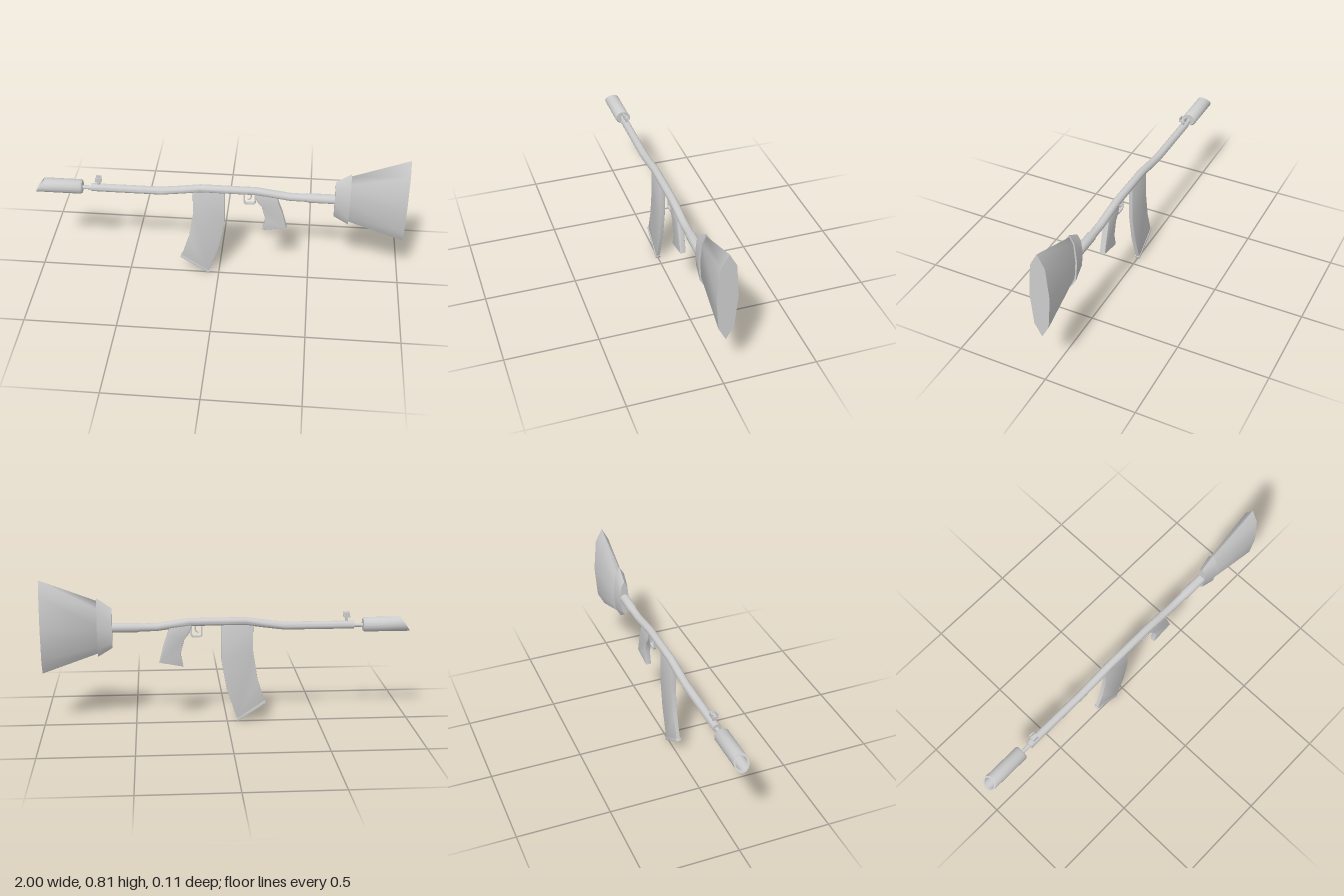
import * as THREE from 'three';
import { toCreasedNormals } from 'three/addons/utils/BufferGeometryUtils.js';

const material = new THREE.MeshStandardMaterial({ color: 0xcccccc });

function add(parent, name, geometry, x = 0, y = 0, z = 0) {
  const mesh = new THREE.Mesh(geometry, material);
  mesh.name = name;
  mesh.position.set(x, y, z);
  parent.add(mesh);
  return mesh;
}

// Skin cross-sections along x; each section is { x, ring: [[y, z], ...] } with y turning towards z.
function loft(sections, crease) {
  const n = sections[0].ring.length;
  const pos = [], idx = [];
  for (const { x, ring } of sections) for (const [y, z] of ring) pos.push(x, y, z);
  for (let j = 0; j < sections.length - 1; j++) {
    for (let i = 0; i < n; i++) {
      const a = j * n + i, d = j * n + (i + 1) % n;
      idx.push(a, d, d + n, a, d + n, a + n);
    }
  }
  const last = (sections.length - 1) * n;
  for (let i = 1; i < n - 1; i++) {
    idx.push(0, i + 1, i);
    idx.push(last, last + i, last + i + 1);
  }
  const g = new THREE.BufferGeometry();
  g.setAttribute('position', new THREE.Float32BufferAttribute(pos, 3));
  g.setIndex(idx);
  return toCreasedNormals(g, crease);
}

function roundSection(x, y, r, n = 16) {
  const ring = [];
  for (let i = 0; i < n; i++) {
    const a = (i / n) * Math.PI * 2;
    ring.push([y + r * Math.cos(a), r * Math.sin(a)]);
  }
  return { x, ring };
}

// Tall lens-like section, pointed at the top and bottom.
function lensSection(x, bottom, top, halfWidth) {
  const c = (bottom + top) / 2, h = (top - bottom) / 2;
  const ring = [[1, 0], [0.71, 0.72], [0, 1], [-0.71, 0.72], [-1, 0], [-0.71, -0.72], [0, -1], [0.71, -0.72]]
    .map(([y, z]) => [c + y * h, z * halfWidth]);
  return { x, ring };
}

// Flat plate cut from an outline in the xy plane, with bevelled edges.
function plate(points, halfDepth, bevel) {
  const shape = new THREE.Shape(points.map(([x, y]) => new THREE.Vector2(x, y)));
  const g = new THREE.ExtrudeGeometry(shape, {
    depth: 2 * (halfDepth - bevel), bevelEnabled: true, bevelSegments: 2,
    bevelSize: bevel, bevelThickness: bevel, bevelOffset: -bevel,
  });
  g.translate(0, 0, -(halfDepth - bevel));
  return toCreasedNormals(g, 0.6);
}

// Hollow muzzle tube with a slanted mouth.
function muzzleGeometry() {
  const r = 0.04, profile = [[0, 0.74], [0.034, 0.74], [r, 0.748], [r, 1], [0.031, 1], [0.031, 0.82], [0, 0.82]];
  const g = new THREE.LatheGeometry(profile.map(([x, y]) => new THREE.Vector2(x, y)), 16);
  g.rotateZ(Math.PI / 2);
  const p = g.attributes.position;
  for (let i = 0; i < p.count; i++) {
    if (p.getX(i) < -0.95) p.setX(i, -1 + ((p.getY(i) + r) / (2 * r)) * 0.055);
  }
  return toCreasedNormals(g, 0.7);
}

export function createModel() {
  const model = new THREE.Group();
  model.name = 'rifle';

  // Long body tube, stepping up over the magazine
  add(model, 'barrelBody', loft([
    [-0.69, 0.54, 0.022], [-0.31, 0.54, 0.022], [-0.2, 0.554, 0.022], [-0.1, 0.569, 0.022], [0.2, 0.569, 0.022],
    [0.29, 0.557, 0.022], [0.38, 0.544, 0.022], [0.47, 0.543, 0.022], [0.485, 0.543, 0.026], [0.64, 0.543, 0.026],
  ].map((s) => roundSection(...s)), 0.7));

  // Muzzle and the thin rod that joins it
  add(model, 'muzzle', muzzleGeometry(), 0, 0.54, 0);
  add(model, 'muzzleRod', loft([roundSection(-0.76, 0.537, 0.011, 12), roundSection(-0.68, 0.537, 0.011, 12)], 0.7));

  // Front sight: post, block and two prongs
  const sight = new THREE.Group();
  sight.name = 'frontSight';
  model.add(sight);
  add(sight, 'sightPost', new THREE.BoxGeometry(0.014, 0.04, 0.014), -0.65, 0.573, 0);
  add(sight, 'sightBlock', new THREE.BoxGeometry(0.034, 0.009, 0.034), -0.65, 0.588, 0);
  for (const s of [-1, 1]) {
    add(sight, 'sightProng', new THREE.BoxGeometry(0.03, 0.018, 0.007), -0.65, 0.6, s * 0.0135);
  }

  // Curved magazine with a slightly wider foot
  add(model, 'magazine', plate([
    [-0.14, 0.56], [-0.14, 0.4], [-0.165, 0.245], [-0.206, 0.112], [-0.054, 0.014],
    [0.004, 0.19], [0.034, 0.36], [0.034, 0.56],
  ], 0.011, 0.003));
  add(model, 'magazineFoot', plate([[-0.214, 0.105], [-0.056, 0], [-0.05, 0.014], [-0.207, 0.119]], 0.014, 0.002));

  // Grip
  add(model, 'grip', plate([
    [0.19, 0.56], [0.205, 0.51], [0.233, 0.475], [0.254, 0.395], [0.24, 0.322],
    [0.37, 0.347], [0.345, 0.445], [0.323, 0.505], [0.315, 0.55],
  ], 0.016, 0.005));

  // Trigger guard and trigger
  const guard = new THREE.Shape([[0.134, 0.56], [0.134, 0.495], [0.143, 0.485], [0.19, 0.485], [0.2, 0.495], [0.2, 0.56]]
    .map((p) => new THREE.Vector2(...p)));
  guard.holes.push(new THREE.Path([[0.142, 0.552], [0.192, 0.552], [0.192, 0.498], [0.187, 0.493], [0.146, 0.493], [0.142, 0.498]]
    .map((p) => new THREE.Vector2(...p))));
  const guardGeometry = new THREE.ExtrudeGeometry(guard, { depth: 0.016, bevelEnabled: false });
  add(model, 'triggerGuard', guardGeometry, 0, 0, -0.008);
  const triggerPath = new THREE.CatmullRomCurve3([[0.172, 0.555], [0.174, 0.53], [0.168, 0.517], [0.156, 0.512]]
    .map(([x, y]) => new THREE.Vector3(x, y, 0)));
  add(model, 'trigger', new THREE.TubeGeometry(triggerPath, 8, 0.004, 8));

  // Stock flaring to the rear, with its collar
  add(model, 'stockCollar', loft([
    lensSection(0.62, 0.432, 0.652, 0.026), lensSection(0.7, 0.383, 0.708, 0.038),
  ], 0.9));
  add(model, 'stock', loft([
    lensSection(0.69, 0.405, 0.69, 0.027), lensSection(1, 0.295, 0.808, 0.055),
  ], 1.65));

  return model;
}
